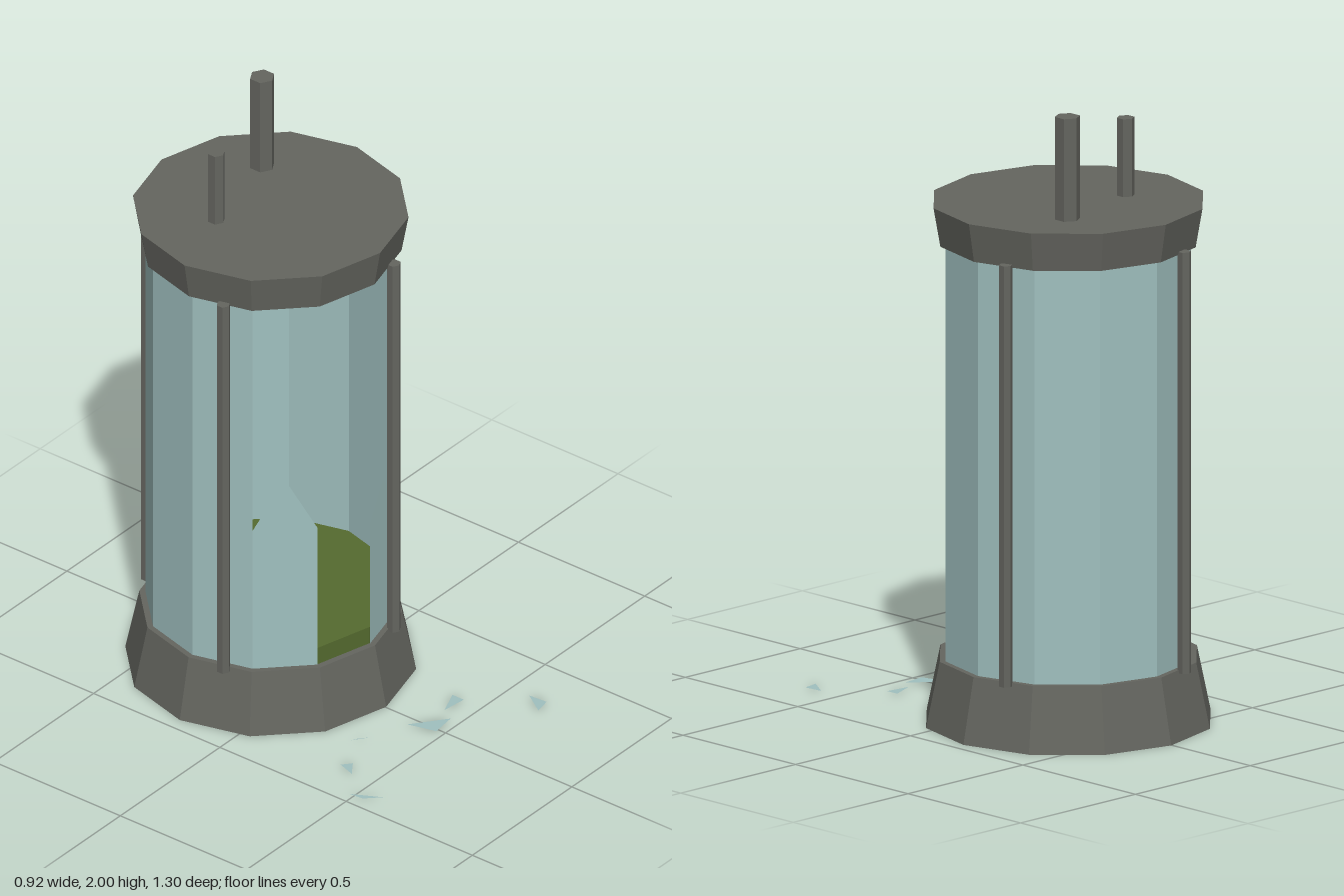
import * as THREE from 'three';

export function createModel() {
  const model = new THREE.Group();
  const metal = new THREE.MeshStandardMaterial({ color: 0x64655f, flatShading: true });
  metal.name = 'dark metal';
  const glass = new THREE.MeshStandardMaterial({ color: 0xa0c0bf, flatShading: true, side: THREE.DoubleSide });
  glass.name = 'pale glass';
  const slime = new THREE.MeshStandardMaterial({ color: 0x556b2f, flatShading: true });
  slime.name = 'green residue';

  const SIDES = 12, R = 0.394, FLOOR = 0.21, CEIL = 1.545;

  const tank = new THREE.Group();
  tank.name = 'tank';
  tank.position.set(0.003, 0, -0.195);
  model.add(tank);

  function add(parent, name, geometry, material, x = 0, y = 0, z = 0) {
    const mesh = new THREE.Mesh(geometry, material);
    mesh.name = name;
    mesh.position.set(x, y, z);
    parent.add(mesh);
    return mesh;
  }
  // Upright prism standing between two heights
  function prism(name, rTop, rBottom, y0, y1, sides, material, x = 0, z = 0) {
    const g = new THREE.CylinderGeometry(rTop, rBottom, y1 - y0, sides);
    return add(tank, name, g, material, x, (y0 + y1) / 2, z);
  }

  // Base, cap and leftover liquid
  prism('base', 0.413, 0.457, 0, FLOOR, SIDES, metal);
  prism('cap', 0.433, 0.411, CEIL, 1.67, SIDES, metal);
  prism('residue', R - 0.002, R - 0.002, FLOOR - 0.01, 0.27, SIDES, slime);

  // Pipes on the cap
  prism('largePipe', 0.04, 0.04, 1.65, 2, 6, metal, 0.167, -0.166);
  prism('smallPipe', 0.028, 0.028, 1.65, 1.92, 6, metal, -0.166, -0.085);

  // Four posts around the glass
  for (let i = 0; i < 4; i++) {
    const a = 0.3 + i * Math.PI / 2;
    prism('post', 0.022, 0.022, FLOOR - 0.01, CEIL + 0.01, 6, metal,
      0.41 * Math.sin(a), 0.41 * Math.cos(a));
  }

  // Intact glass: eight panels, open across the front
  add(tank, 'intactGlass',
    new THREE.CylinderGeometry(R, R, CEIL - FLOOR, 8, 1, true, Math.PI / 3, Math.PI * 4 / 3),
    glass, 0, (FLOOR + CEIL) / 2, 0);

  // Broken stumps of the front panels
  const half = R * Math.sin(Math.PI / SIDES);
  const depth = R * Math.cos(Math.PI / SIDES);
  function stump(angle, left, peak, right) {
    const s = new THREE.Shape([
      new THREE.Vector2(-half, FLOOR), new THREE.Vector2(half, FLOOR),
      new THREE.Vector2(half, right), new THREE.Vector2(0, peak),
      new THREE.Vector2(-half, left),
    ]);
    const m = add(tank, 'brokenGlass', new THREE.ShapeGeometry(s), glass,
      depth * Math.sin(angle), 0, depth * Math.cos(angle));
    m.rotation.y = angle;
  }
  stump(-Math.PI / 4, 0.72, 0.9, 0.715);
  stump(Math.PI / 12, 0.65, 0.755, 0.62);

  // Fallen shards on the ground, as x, z corners
  const shards = [
    [-0.35, 0.36, -0.32, 0.385, -0.37, 0.42],
    [-0.22, 0.3, -0.17, 0.335, -0.2, 0.309],
    [-0.465, 0.485, -0.415, 0.58, -0.46, 0.535],
    [-0.04, 0.38, 0.07, 0.465, -0.015, 0.475],
    [0.095, 0.42, 0.18, 0.385, 0.18, 0.43],
    [0.325, 0.575, 0.33, 0.64, 0.275, 0.65],
  ];
  for (const [ax, az, bx, bz, cx, cz] of shards) {
    const s = new THREE.Shape([
      new THREE.Vector2(ax, -az), new THREE.Vector2(bx, -bz), new THREE.Vector2(cx, -cz),
    ]);
    const g = new THREE.ShapeGeometry(s).rotateX(-Math.PI / 2);
    add(model, 'fallenShard', g, glass, 0, 0.004, 0);
  }

  return model;
}
